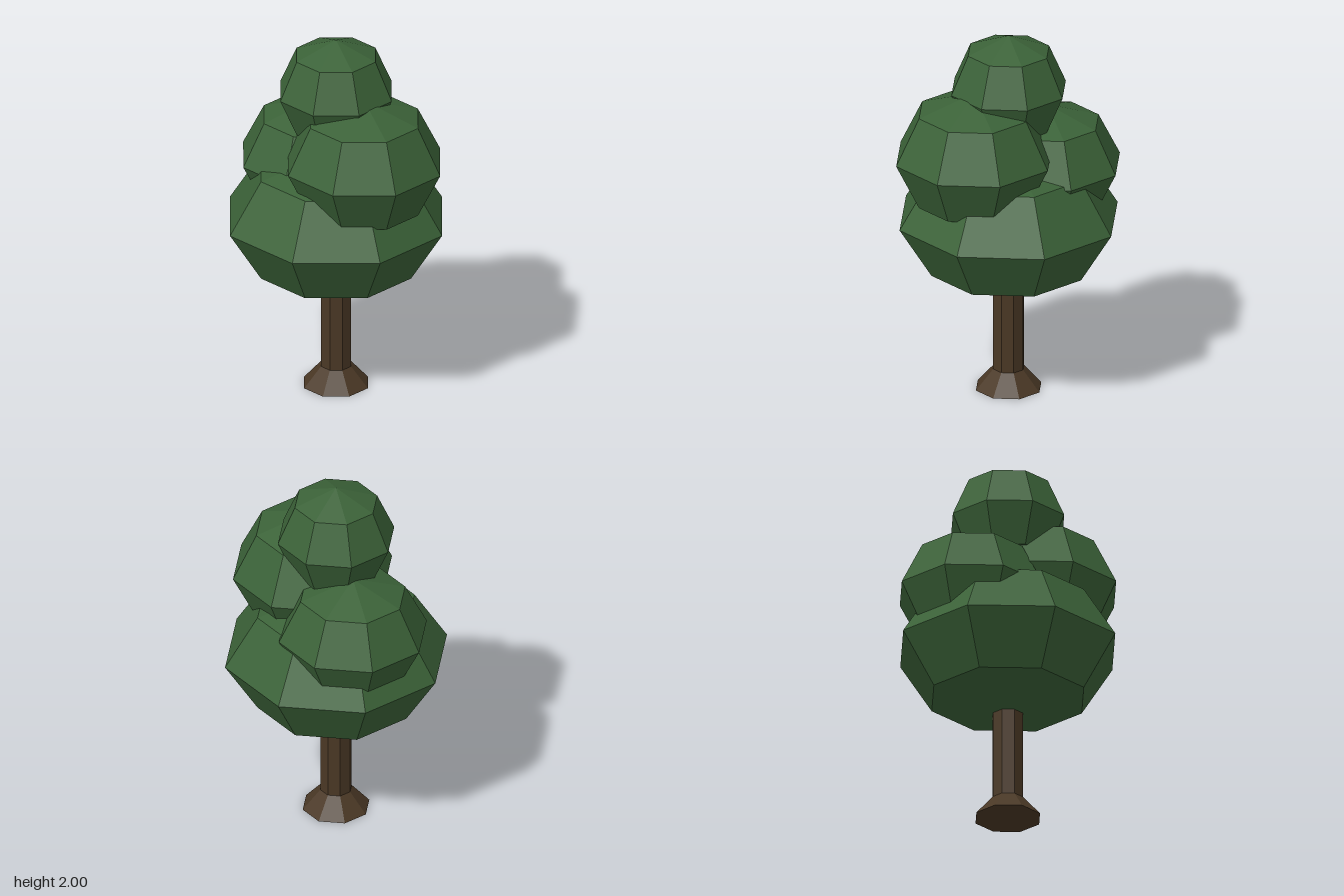
import * as THREE from 'three';

export function createModel() {
  const tree = new THREE.Group();
  tree.name = 'tree';

  const leafGreen = new THREE.MeshStandardMaterial({ color: 0x3b6238, flatShading: true });
  leafGreen.name = 'leaf green';
  const barkBrown = new THREE.MeshStandardMaterial({ color: 0x4a3825, flatShading: true });
  barkBrown.name = 'bark brown';

  const AXIS_X = -0.02; // the trunk stands slightly off centre

  function add(name, geometry, material, x, y, z) {
    const mesh = new THREE.Mesh(geometry, material);
    mesh.name = name;
    mesh.position.set(x, y, z);
    tree.add(mesh);
  }

  // Trunk and flared root, both octagonal
  add('trunk', new THREE.CylinderGeometry(0.085, 0.085, 0.65, 8), barkBrown, AXIS_X, 0.375, 0);
  add('rootFlare', new THREE.CylinderGeometry(0.085, 0.18, 0.11, 8), barkBrown, AXIS_X, 0.055, 0);

  // Leaf clumps: flattened low-poly spheres [name, radius, half height, x, y, z]
  const clumps = [
    ['lowerFoliage', 0.6, 0.4, AXIS_X, 0.97, 0],
    ['rightFoliage', 0.4, 0.33, -0.2, 1.235, -0.135],
    ['leftFoliage', 0.43, 0.36, 0.18, 1.37, 0.1],
    ['topFoliage', 0.315, 0.3, AXIS_X, 1.7, 0],
  ];
  for (const [name, radius, halfHeight, x, y, z] of clumps) {
    const clump = new THREE.SphereGeometry(1, 8, 4).scale(radius, halfHeight, radius);
    add(name, clump, leafGreen, x, y, z);
  }

  return tree;
}
